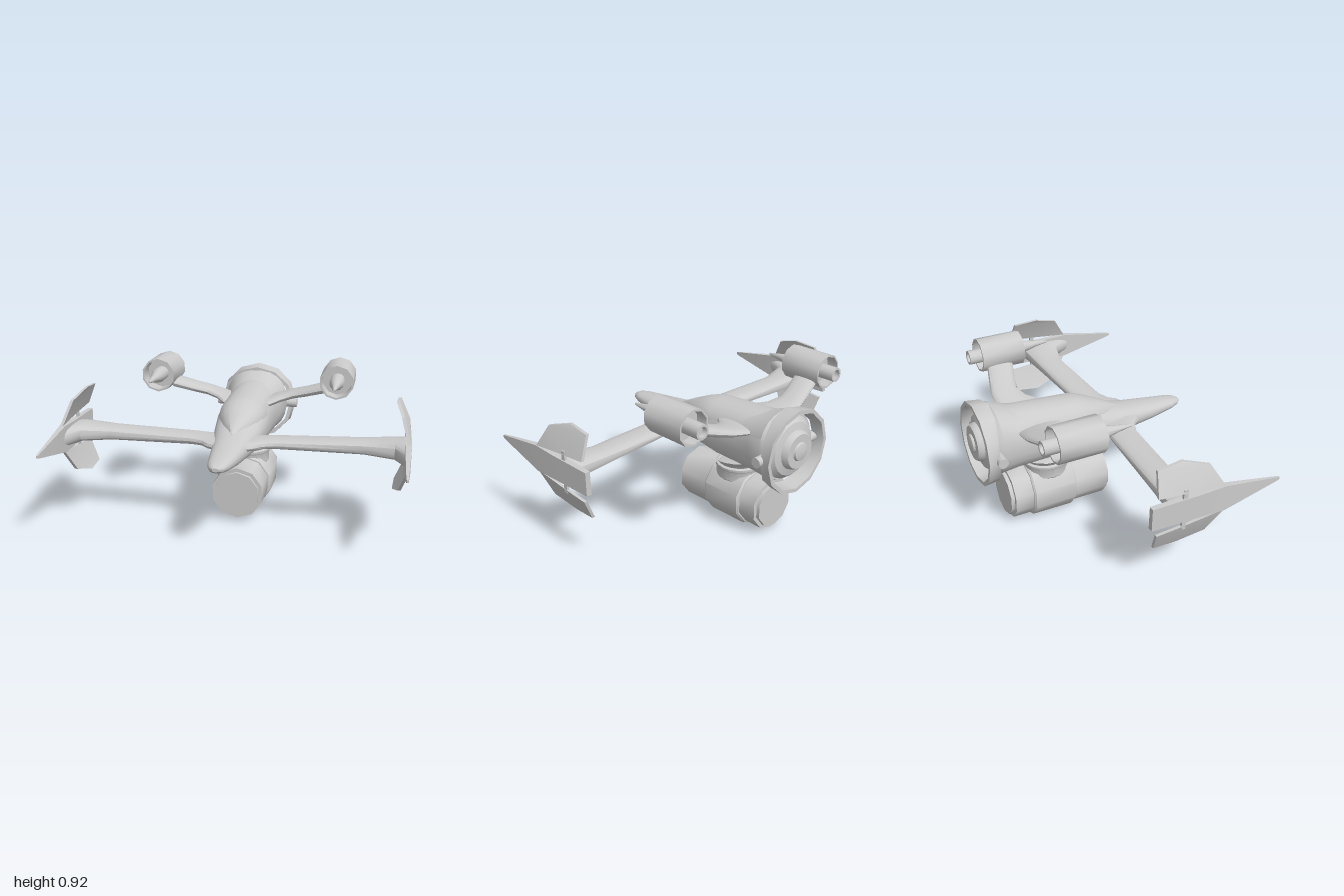
import * as THREE from 'three';
import { toCreasedNormals } from 'three/addons/utils/BufferGeometryUtils.js';

const material = new THREE.MeshStandardMaterial({ color: 0xcccccc });

// Closed skin through cross-sections [t, aMin, aMax, bMin, bMax], t increasing.
// Along z: a = x, b = y. Along x: a = y, b = z. power 1 = ellipse, 0 = box.
function loft(axis, sections, sides = 20, power = 1) {
  const pos = [], index = [];
  const put = (t, a, b) => pos.push(...(axis === 'z' ? [a, b, t] : [t, a, b]));
  const shape = (v) => Math.sign(v) * Math.abs(v) ** power;
  for (const [t, a0, a1, b0, b1] of sections) {
    for (let j = 0; j < sides; j++) {
      const angle = ((j + 0.5) / sides) * Math.PI * 2;
      put(t, (a0 + a1) / 2 + ((a1 - a0) / 2) * shape(Math.cos(angle)),
        (b0 + b1) / 2 + ((b1 - b0) / 2) * shape(Math.sin(angle)));
    }
  }
  const last = (sections.length - 1) * sides;
  for (let i = 0; i < last; i += sides) {
    for (let j = 0; j < sides; j++) {
      const k = (j + 1) % sides;
      index.push(i + j, i + k, i + sides + k, i + j, i + sides + k, i + sides + j);
    }
  }
  for (let j = 1; j < sides - 1; j++) {
    index.push(0, j + 1, j, last, last + j, last + j + 1);
  }
  const geo = new THREE.BufferGeometry();
  geo.setAttribute('position', new THREE.Float32BufferAttribute(pos, 3));
  geo.setIndex(index);
  return geo;
}

// Turned part about the z axis from [radius, z] points
function turned(points, sides, x = 0, y = 0) {
  return new THREE.LatheGeometry(points.map((p) => new THREE.Vector2(...p)), sides)
    .rotateX(Math.PI / 2).translate(x, y, 0);
}

// Flip a geometry to the other side, keeping its faces outward
function mirrored(geo) {
  const out = geo.index ? geo.toNonIndexed() : geo.clone();
  const p = out.attributes.position;
  const a = new THREE.Vector3(), b = new THREE.Vector3();
  for (let i = 0; i < p.count; i += 3) {
    a.fromBufferAttribute(p, i + 1);
    b.fromBufferAttribute(p, i + 2);
    p.setXYZ(i + 1, b.x, b.y, b.z);
    p.setXYZ(i + 2, a.x, a.y, a.z);
  }
  return out.scale(-1, 1, 1);
}

// Thin tail fin curving inward away from the wing line; up = 1 or -1
function finGeometry(up) {
  const outline = [[0.34, 0.077], [0.26, 0.21], [0.11, 0.257], [-0.04, 0.245], [-0.06, 0.118], [0.1, 0.104]];
  const shape = new THREE.Shape(outline.map(([z, d]) => new THREE.Vector2(z, 0.53 + up * d)));
  const geo = new THREE.ExtrudeGeometry(shape, { depth: 0.018, bevelEnabled: false }).rotateY(-Math.PI / 2);
  const p = geo.attributes.position;
  for (let i = 0; i < p.count; i++) {
    const d = Math.abs(p.getY(i) - 0.53) - 0.07;
    p.setX(i, p.getX(i) + 0.994 - 2 * d * d);
  }
  return geo;
}

export function createModel() {
  const model = new THREE.Group();
  model.name = 'spacecraft';

  const add = (name, geo, crease = 0.7) => {
    const mesh = new THREE.Mesh(toCreasedNormals(geo, crease), material);
    mesh.name = name;
    model.add(mesh);
  };
  const addPair = (name, geo, crease) => {
    add('left' + name, geo, crease);
    add('right' + name, mirrored(geo), crease);
  };

  // Fuselage with drooping nose
  add('fuselage', loft('z', [
    [-0.6, -0.185, 0.185, 0.39, 0.76],
    [-0.56, -0.2, 0.2, 0.38, 0.785],
    [-0.45, -0.175, 0.175, 0.385, 0.745],
    [-0.3, -0.16, 0.16, 0.385, 0.72],
    [-0.15, -0.16, 0.16, 0.39, 0.71],
    [-0.05, -0.157, 0.157, 0.41, 0.68],
    [0.1, -0.14, 0.14, 0.425, 0.62],
    [0.27, -0.11, 0.11, 0.435, 0.58],
    [0.45, -0.085, 0.085, 0.455, 0.56],
    [0.6, -0.06, 0.06, 0.48, 0.545],
    [0.65, -0.04, 0.04, 0.492, 0.535],
    [0.67, -0.018, 0.018, 0.505, 0.525],
  ], 24, 0.85));

  // Canopy hump
  add('canopy', loft('z', [
    [-0.5, -0.15, 0.15, 0.45, 0.75],
    [-0.1, -0.15, 0.15, 0.45, 0.72],
    [-0.04, -0.142, 0.142, 0.46, 0.715],
    [0.04, -0.12, 0.12, 0.48, 0.685],
    [0.14, -0.075, 0.075, 0.5, 0.64],
    [0.25, -0.01, 0.01, 0.53, 0.586],
  ], 20, 0.9));

  // Rear engine and its surrounding ring
  add('mainEngine', turned([
    [0, -0.705], [0.05, -0.692], [0.055, -0.68], [0.1, -0.68], [0.11, -0.665],
    [0.115, -0.645], [0.155, -0.635], [0.185, -0.6], [0.185, -0.57],
  ], 20, 0, 0.575), 0.5);
  const ring = turned([
    [0.215, -0.57], [0.225, -0.668], [0.247, -0.668], [0.237, -0.57], [0.215, -0.57],
  ], 12, 0, 0.566);
  const rp = ring.attributes.position;
  for (let i = 0; i < rp.count; i++) {
    if (rp.getZ(i) > -0.6) rp.setZ(i, rp.getZ(i) - 0.035 * (rp.getX(i) / 0.24) ** 2);
  }
  add('engineRing', ring);
  addPair('RingPivot', new THREE.CylinderGeometry(0.03, 0.03, 0.1, 12)
    .rotateZ(Math.PI / 2).translate(0.213, 0.57, -0.595));

  // Underslung pod with its neck
  add('podNeck', new THREE.LatheGeometry([
    [0.12, 0.27], [0.138, 0.29], [0.138, 0.345], [0.142, 0.35], [0.142, 0.365], [0.127, 0.37],
    [0.135, 0.385], [0.16, 0.405], [0.19, 0.43],
  ].map((p) => new THREE.Vector2(...p)), 20).translate(0, 0, -0.242));
  add('pod', turned([
    [0, -0.515], [0.135, -0.515], [0.135, -0.493], [0.157, -0.493], [0.157, -0.38],
    [0.165, -0.38], [0.174, -0.37], [0.174, -0.12], [0.165, -0.108], [0.157, -0.108],
    [0.157, 0.1], [0.135, 0.1], [0.135, 0.12], [0, 0.12],
  ], 10, 0, 0.175));

  // Main wings, filleted at the root and flared at the tip
  addPair('Wing', loft('x', [
    [0.04, 0.5, 0.555, 0.09, 0.36],
    [0.13, 0.502, 0.555, 0.08, 0.315],
    [0.17, 0.502, 0.555, 0.077, 0.27],
    [0.24, 0.5, 0.557, 0.073, 0.242],
    [0.74, 0.488, 0.567, 0.045, 0.215],
    [0.91, 0.478, 0.582, 0.032, 0.26],
    [0.975, 0.472, 0.588, 0.02, 0.39],
  ], 14, 0.75));

  // Wing tips: spear, two fins and the posts that hold them
  addPair('WingSpear', loft('z', [
    [-0.095, 0.965, 0.995, 0.464, 0.6],
    [0.2, 0.962, 0.998, 0.457, 0.602],
    [0.34, 0.962, 0.998, 0.45, 0.607],
    [0.68, 0.971, 0.984, 0.521, 0.545],
    [0.7, 0.974, 0.982, 0.527, 0.54],
  ], 4, 0), 0.3);
  for (const up of [1, -1]) {
    const side = up > 0 ? 'Upper' : 'Lower';
    addPair(side + 'Fin', finGeometry(up), 0.4);
    addPair(side + 'FinPost', new THREE.BoxGeometry(0.014, 0.07, 0.025)
      .translate(0.983, 0.53 + up * 0.09, 0.1), 0.4);
  }

  // Upper pylons and nacelles
  addPair('Pylon', loft('x', [
    [0.08, 0.61, 0.665, -0.46, -0.16],
    [0.15, 0.632, 0.682, -0.46, -0.2],
    [0.2, 0.645, 0.695, -0.46, -0.26],
    [0.27, 0.662, 0.715, -0.457, -0.293],
    [0.35, 0.682, 0.738, -0.437, -0.275],
    [0.48, 0.72, 0.783, -0.4, -0.235],
  ], 14, 0.85));
  addPair('Nacelle', turned([
    [0, -0.36], [0.092, -0.36], [0.092, -0.43], [0.103, -0.43],
    [0.103, -0.16], [0.092, -0.16], [0.092, -0.25], [0, -0.25],
  ], 10, 0.55, 0.815));
  addPair('NacelleCore', turned([
    [0, -0.46], [0.03, -0.46], [0.03, -0.492], [0.043, -0.492],
    [0.043, -0.16], [0.02, -0.06], [0.007, 0.02], [0, 0.022],
  ], 12, 0.55, 0.812));

  return model;
}
